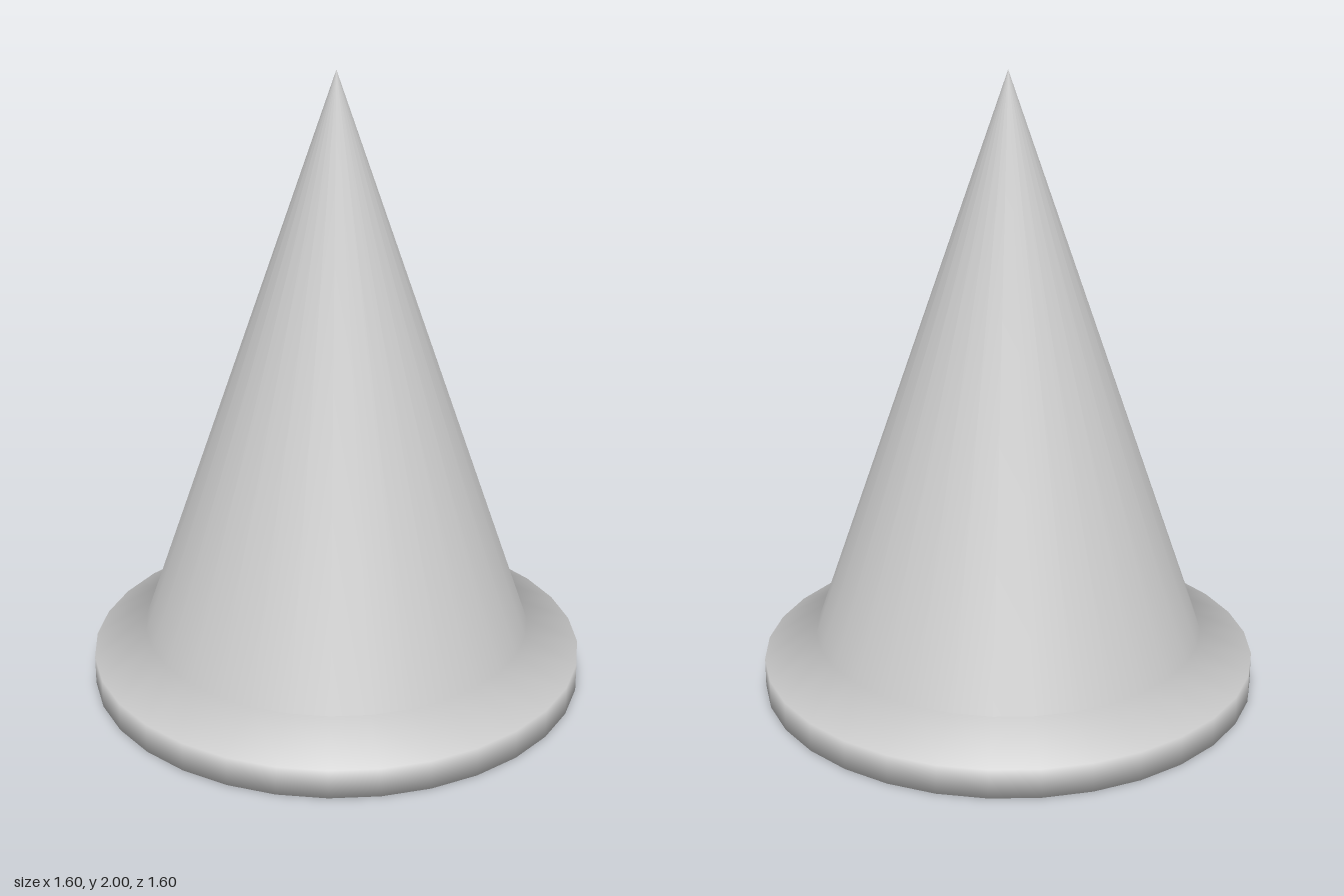
import * as THREE from 'three';

export function createModel() {
  const group = new THREE.Group();
  const material = new THREE.MeshStandardMaterial({ color: 0xcccccc });

  // One smooth turned body: closed underside, rim, sloping brim, tall cone
  const profile = [
    [0, 0],
    [0.8, 0],
    [0.8, 0.095],
    [0.63, 0.175],
    [0, 2],
  ].map(([r, y]) => new THREE.Vector2(r, y));

  const cone = new THREE.Mesh(new THREE.LatheGeometry(profile, 32), material);
  cone.name = 'coneWithFlaredBase';
  group.add(cone);
  return group;
}
